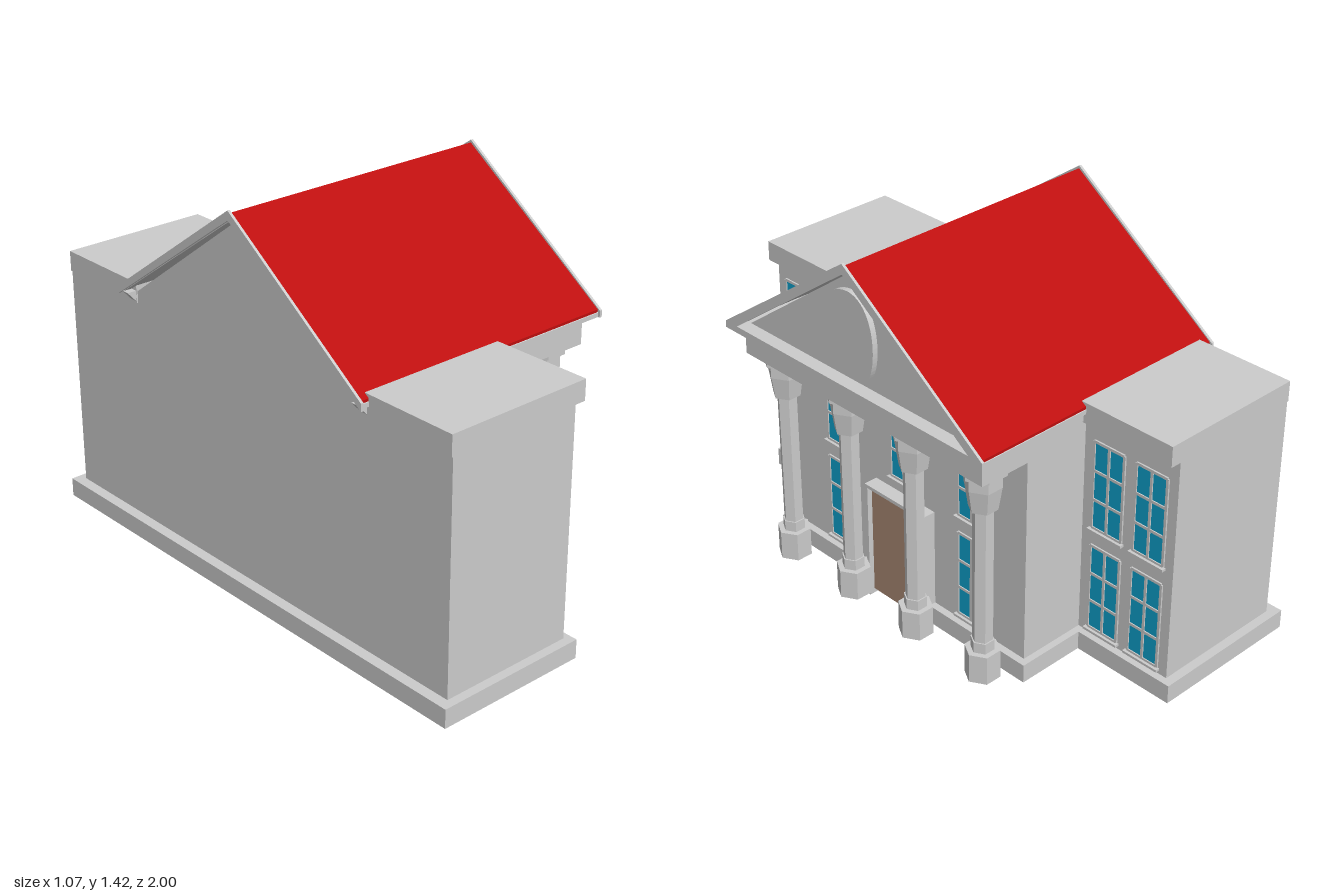
import * as THREE from 'three';

const mat = (color) => new THREE.MeshStandardMaterial({ color, flatShading: true });

export function createModel() {
  const grey = mat(0xcccccc), red = mat(0xbe0f0f), blue = mat(0x0fa0cc), brown = mat(0xa88873);
  const model = new THREE.Group();

  const add = (parent, name, geo, material = grey) => {
    const mesh = new THREE.Mesh(geo, material);
    mesh.name = name;
    parent.add(mesh);
    return mesh;
  };
  // Box given by its limits on each axis
  const box = (parent, name, x0, x1, y0, y1, z0, z1, material) => add(parent, name,
    new THREE.BoxGeometry(x1 - x0, y1 - y0, z1 - z0)
      .translate((x0 + x1) / 2, (y0 + y1) / 2, (z0 + z1) / 2), material);
  const shapeOf = (pts) => new THREE.Shape(pts.map(([a, b]) => new THREE.Vector2(a, b)));
  // Cross-section in (-z, y) pushed along x
  const alongX = (parent, name, shape, x0, x1, material) => add(parent, name,
    new THREE.ExtrudeGeometry(shape, { depth: x1 - x0, bevelEnabled: false, curveSegments: 20 })
      .rotateY(Math.PI / 2).translate(x0, 0, 0), material);
  // Inverted V between an upper and a lower pitch line
  const chevron = (half, topApex, topEave, lowApex, lowEave) => shapeOf([
    [-half, lowEave], [0, lowApex], [half, lowEave], [half, topEave], [0, topApex], [-half, topEave]]);

  // Central block and its plinth
  box(model, 'centralBlock', -0.49, 0.293, 0.02, 0.97, -0.575, 0.575);
  box(model, 'centralPlinth', -0.53, 0.32, 0.02, 0.09, -0.6, 0.6);
  box(model, 'entablature', 0.25, 0.49, 0.86, 0.965, -0.575, 0.575);
  box(model, 'cornice', 0.25, 0.53, 0.962, 0.985, -0.605, 0.605);
  alongX(model, 'gableBody', shapeOf([[-0.58, 0.96], [0.58, 0.96], [0, 1.385]]), -0.49, 0.485);

  // Side wings with projecting parapets, and wedges below the eaves
  for (const s of [1, -1]) {
    const span = (a, b) => (s > 0 ? [a, b] : [-b, -a]);
    box(model, 'wing', -0.49, 0.03, 0.02, 0.95, ...span(0.5, 0.967));
    box(model, 'wingParapet', -0.495, 0.072, 0.925, 1.0, ...span(0.57, 0.967));
    box(model, 'wingPlinth', -0.53, 0.057, 0.02, 0.09, ...span(0.55, 1.0));
    const wedge = shapeOf([[-0.53, 0.97], [-0.49, 0.925], [0.05, 0.925], [0.29, 0.967]]);
    add(model, 'eaveWedge', new THREE.ExtrudeGeometry(wedge, { depth: 0.03, bevelEnabled: false })
      .translate(0, 0, s > 0 ? 0.572 : -0.602));
  }

  // Roof: red covering, grey soffit and raised gable trims
  alongX(model, 'roofCovering', chevron(0.61, 1.415, 0.987, 1.403, 0.975), -0.526, 0.526, red);
  alongX(model, 'roofSoffit', chevron(0.612, 1.404, 0.976, 1.388, 0.96), -0.525, 0.525);
  alongX(model, 'backGableTrim', chevron(0.62, 1.425, 0.985, 1.392, 0.957), -0.535, -0.525);
  const frame = shapeOf([[-0.62, 0.96], [0.62, 0.96], [0.62, 0.985], [0, 1.425], [-0.62, 0.985]]);
  frame.holes.push(shapeOf([[-0.56, 0.985], [0, 1.388], [0.56, 0.985]]));
  alongX(model, 'pedimentFrame', frame, 0.525, 0.535);

  // Plain drop-shaped relief in the pediment
  const drop = new THREE.Shape();
  drop.moveTo(0.08, 1.04);
  drop.bezierCurveTo(0.12, 1.12, 0.11, 1.31, -0.01, 1.315);
  drop.bezierCurveTo(-0.16, 1.31, -0.17, 1.12, -0.03, 1.07);
  drop.quadraticCurveTo(0.03, 1.02, 0.08, 1.04);
  alongX(model, 'pedimentRelief', drop, 0.48, 0.505);

  // Six-sided columns: [bottom y, top y, bottom radius, top radius]
  const sections = [
    ['columnBase', 0.035, 0.145, 0.062, 0.062],
    ['columnCollar', 0.145, 0.185, 0.041, 0.041],
    ['columnShaft', 0.185, 0.7, 0.036, 0.036],
    ['columnFlare', 0.7, 0.785, 0.05, 0.063],
    ['columnCapital', 0.785, 0.832, 0.064, 0.064],
    ['columnAbacus', 0.832, 0.862, 0.079, 0.079],
  ];
  for (const z of [-0.485, -0.16, 0.16, 0.485]) {
    const column = new THREE.Group();
    column.name = 'column';
    column.position.set(0.397, 0, z);
    for (const [name, y0, y1, r0, r1] of sections) {
      add(column, name, new THREE.CylinderGeometry(r1, r0, y1 - y0, 6, 1, false, Math.PI / 6)
        .translate(0, (y0 + y1) / 2, 0));
    }
    model.add(column);
  }

  // Window with two columns and three rows of panes, facing +x
  const addWindow = (x, y, z) => {
    const win = new THREE.Group();
    win.name = 'window';
    win.position.set(x, y, z);
    const w = 0.064, h = 0.33;
    box(win, 'glass', -0.005, 0.002, 0, h, -w, w, blue);
    for (const c of [-w, 0, w]) box(win, 'windowUpright', -0.005, 0.006, 0, h, c - 0.005, c + 0.005);
    for (const b of [0, 0.11, 0.22, h]) box(win, 'windowBar', -0.005, 0.006, b - 0.005, b + 0.005, -w, w);
    box(win, 'windowSill', -0.005, 0.016, -0.012, -0.003, -0.074, 0.074);
    model.add(win);
  };
  for (const y of [0.115, 0.517]) {
    for (const s of [1, -1]) {
      addWindow(0.03, y, s * 0.861);
      addWindow(0.03, y, s * 0.682);
      addWindow(0.293, y, s * 0.328);
    }
  }
  addWindow(0.293, 0.517, 0);

  // Door with a deep surround that runs under the plinth
  box(model, 'door', 0.29, 0.326, 0.018, 0.452, -0.134, 0.134, brown);
  for (const z of [-0.14, 0.14]) box(model, 'doorJamb', 0.05, 0.346, 0, 0.465, z - 0.006, z + 0.006);
  box(model, 'doorLintel', 0.29, 0.346, 0.452, 0.465, -0.146, 0.146);

  return model;
}
